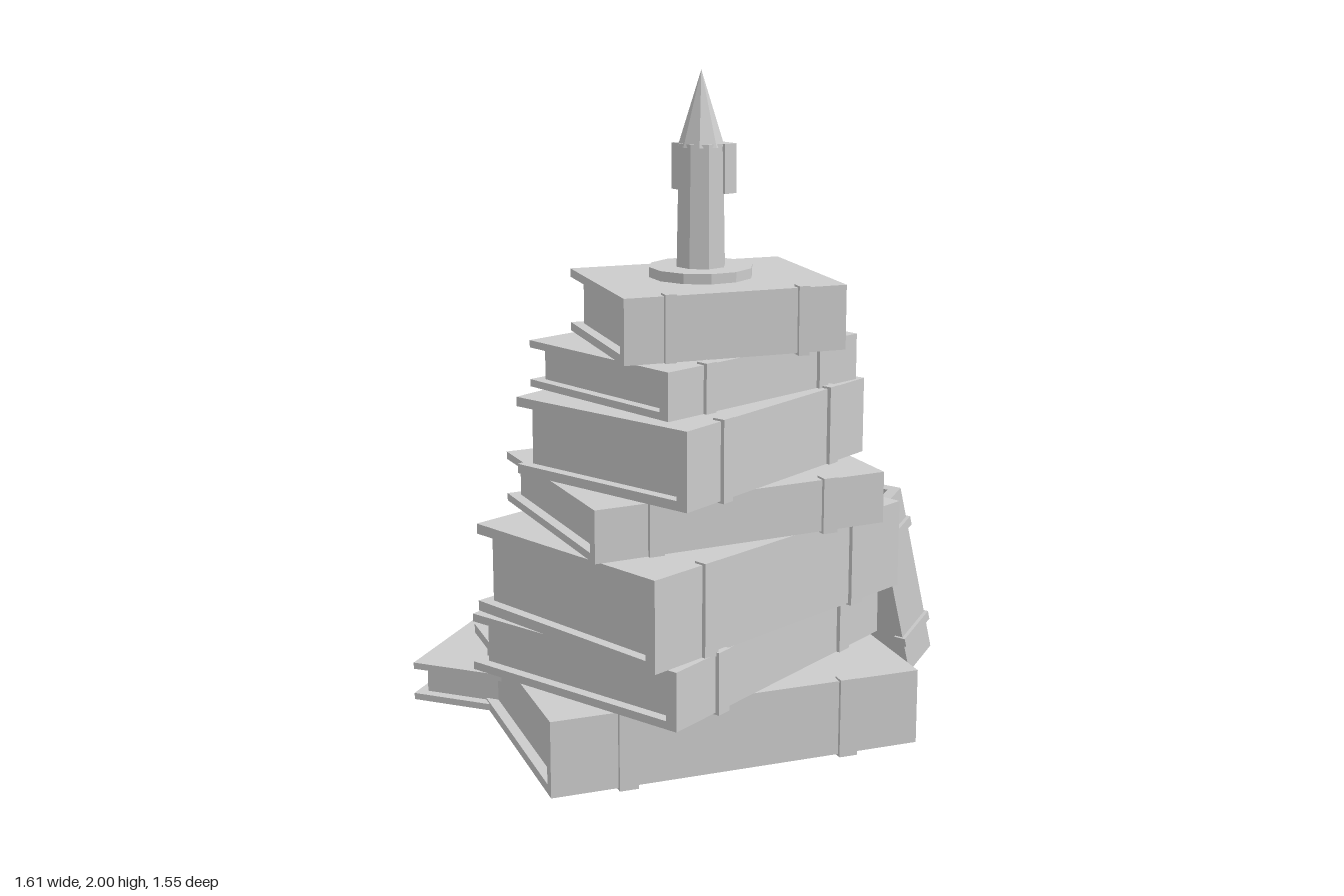
import * as THREE from 'three';

const grey = new THREE.MeshStandardMaterial({ color: 0xcccccc, flatShading: true });
grey.name = 'light grey';

function part(parent, name, geometry, x, y, z) {
  const mesh = new THREE.Mesh(geometry, grey);
  mesh.name = name;
  mesh.position.set(x, y, z);
  parent.add(mesh);
  return mesh;
}

// Closed book centred on the origin: spine along x, facing +z, thickness along y
function makeBook(name, length, height, depth) {
  const book = new THREE.Group();
  book.name = name;
  const cover = 0.012 + height * 0.07, inset = 0.032;
  for (const s of [-1, 1]) {
    part(book, s > 0 ? 'topCover' : 'bottomCover',
      new THREE.BoxGeometry(length, cover, depth), 0, s * (height - cover) / 2, 0);
    part(book, 'spineBand',
      new THREE.BoxGeometry(length * 0.05, height + 0.012, 0.04), s * length * 0.3, 0, depth / 2 - 0.008);
  }
  part(book, 'spine', new THREE.BoxGeometry(length, height - 2 * cover, 0.036), 0, 0, depth / 2 - 0.018);
  part(book, 'pages', new THREE.BoxGeometry(length - 2 * inset, height - 2 * cover, depth - inset - 0.036),
    0, 0, (inset - 0.036) / 2);
  return book;
}

// Flat book placed by the two ends of its spine edge, its depth and its heights
function flatBook(name, x0, z0, x1, z1, depth, y0, y1) {
  const turn = Math.atan2(z0 - z1, x1 - x0);
  const book = makeBook(name, Math.hypot(x1 - x0, z1 - z0), y1 - y0, depth);
  book.position.set(
    (x0 + x1) / 2 - Math.sin(turn) * depth / 2, (y0 + y1) / 2,
    (z0 + z1) / 2 - Math.cos(turn) * depth / 2);
  book.rotation.y = turn;
  return book;
}

export function createModel() {
  const model = new THREE.Group();
  model.name = 'bookStackWithCandle';

  // Stack of books, bottom to top, then the small one lying behind
  const stack = [
    [-0.81, 0.37, 0.26, 0.77, 0.845, 0.01, 0.24],
    [-0.59, 0.655, 0.41, 0.458, 0.77, 0.24, 0.415],
    [-0.645, 0.63, 0.41, 0.54, 0.745, 0.415, 0.685],
    [-0.68, 0.415, 0.21, 0.66, 0.69, 0.685, 0.84],
    [-0.505, 0.6, 0.33, 0.455, 0.64, 0.84, 1.07],
    [-0.475, 0.487, 0.3, 0.45, 0.6, 1.07, 1.21],
    [-0.515, 0.345, 0.11, 0.59, 0.53, 1.21, 1.4],
  ];
  stack.forEach((b, i) => model.add(flatBook('stackedBook' + (i + 1), ...b)));
  model.add(flatBook('bookBehind', -0.48, -0.09, 0.04, -0.375, 0.46, 0.012, 0.135));

  // Book leaning against the stack
  const leaning = makeBook('leaningBook', 0.64, 0.145, 0.488);
  leaning.rotation.order = 'YXZ';
  leaning.rotation.set(0, THREE.MathUtils.degToRad(12.4), THREE.MathUtils.degToRad(-69.5));
  leaning.position.set(0.568, 0.337, 0.141);
  model.add(leaning);

  // Candle with holder plate, pointed flame and wax drips
  const candle = new THREE.Group();
  candle.name = 'candle';
  candle.position.set(-0.105, 0, 0.2);
  model.add(candle);
  part(candle, 'holderPlate', new THREE.CylinderGeometry(0.155, 0.155, 0.03, 12), 0, 1.415, 0);
  const wax = part(candle, 'candleBody', new THREE.CylinderGeometry(0.068, 0.075, 0.36, 8), 0, 1.61, 0);
  wax.rotation.y = Math.PI / 8;
  part(candle, 'flame', new THREE.ConeGeometry(0.068, 0.22, 8), 0, 1.89, 0);
  part(candle, 'waxDrip', new THREE.BoxGeometry(0.045, 0.145, 0.09), 0.062, 1.715, 0.015);
  part(candle, 'waxDrip', new THREE.BoxGeometry(0.04, 0.135, 0.04), -0.025, 1.72, -0.06);

  return model;
}
